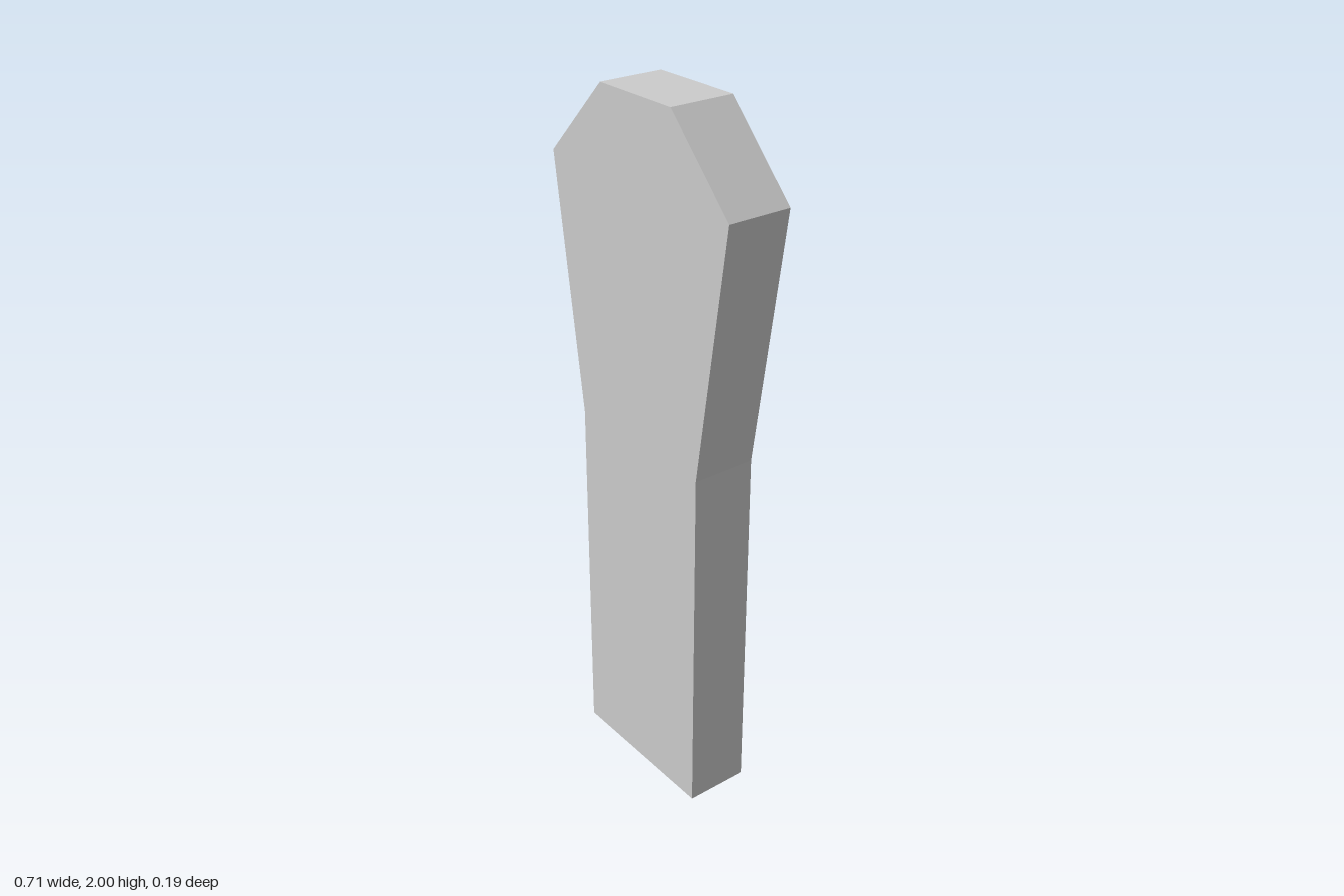
import * as THREE from 'three';

export function createModel() {
  const group = new THREE.Group();
  group.name = 'headstone';
  const depth = 0.186;

  // Right half of the outline, from the base up; mirrored for the other half
  const half = [[0.246, 0], [0.246, 1.06], [0.354, 1.78], [0.139, 2]];
  const outline = [
    ...half.map(([x, y]) => new THREE.Vector2(x, y)),
    ...half.map(([x, y]) => new THREE.Vector2(-x, y)).reverse(),
  ];

  // Flat slab: straight shaft flaring into a bevelled head
  const geometry = new THREE.ExtrudeGeometry(new THREE.Shape(outline), {
    depth, bevelEnabled: false,
  });
  geometry.translate(0, 0, -depth / 2);

  const slab = new THREE.Mesh(
    geometry,
    new THREE.MeshStandardMaterial({ color: 0xcccccc, flatShading: true })
  );
  slab.name = 'flaredSlab';
  group.add(slab);
  return group;
}
